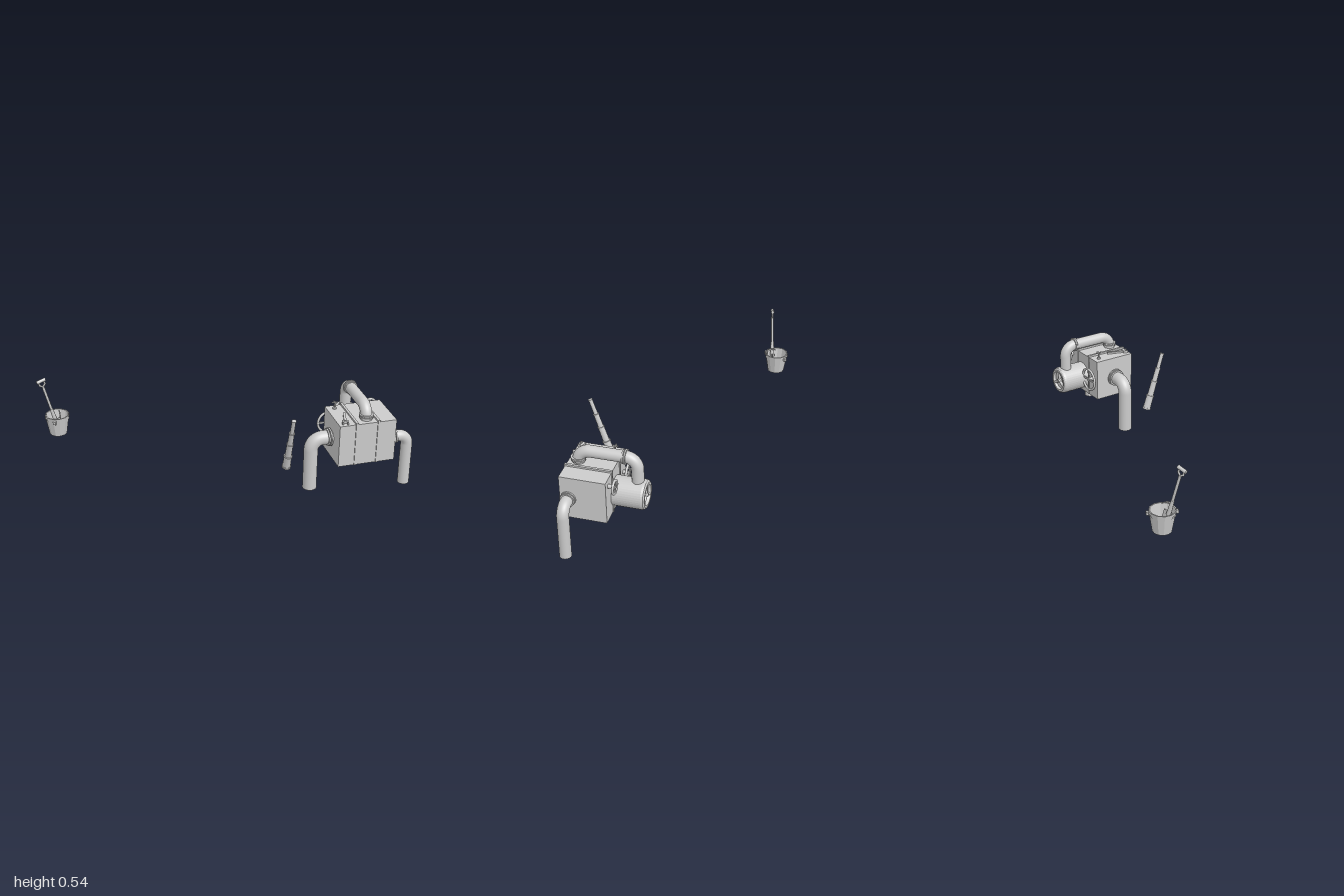
import * as THREE from 'three';

const V = (x, y, z) => new THREE.Vector3(x, y, z);
const smooth = new THREE.MeshStandardMaterial({ color: 0xcccccc, side: THREE.DoubleSide });
const faceted = new THREE.MeshStandardMaterial({ color: 0xcccccc, side: THREE.DoubleSide, flatShading: true });

function add(parent, name, geometry, x = 0, y = 0, z = 0, material = smooth) {
  const mesh = new THREE.Mesh(geometry, material);
  mesh.name = name;
  mesh.position.set(x, y, z);
  parent.add(mesh);
  return mesh;
}

// Cylinder or cone running from point a to point b
function rod(parent, name, a, b, ra, rb = ra, sides = 24) {
  const dir = b.clone().sub(a);
  const mesh = add(parent, name, new THREE.CylinderGeometry(rb, ra, dir.length(), sides));
  mesh.position.copy(a).add(b).multiplyScalar(0.5);
  mesh.quaternion.setFromUnitVectors(V(0, 1, 0), dir.normalize());
  return mesh;
}

// Pipe through corner points with rounded bends, closed at both ends
function pipe(parent, name, points, radius, bend) {
  const path = new THREE.CurvePath();
  let from = points[0];
  for (let i = 1; i < points.length - 1; i++) {
    const p = points[i];
    const back = points[i - 1].clone().sub(p).normalize();
    const next = points[i + 1].clone().sub(p).normalize();
    const at = (d, k) => p.clone().addScaledVector(d, bend * k);
    path.add(new THREE.LineCurve3(from, at(back, 1)));
    path.add(new THREE.CubicBezierCurve3(at(back, 1), at(back, 0.45), at(next, 0.45), at(next, 1)));
    from = at(next, 1);
  }
  const end = points[points.length - 1];
  path.add(new THREE.LineCurve3(from, end));
  add(parent, name, new THREE.TubeGeometry(path, 72, radius, 28));
  const toward = points[points.length - 2].clone().sub(end).setLength(0.002);
  rod(parent, name + 'Cap', end, end.clone().add(toward), radius, radius, 28);
}

// Two stacked discs around a pipe
function flange(parent, name, center, axis, radius) {
  for (const [offset, r] of [[-0.006, radius], [0.006, radius * 0.94]]) {
    const c = center.clone().addScaledVector(axis, offset);
    rod(parent, name, c.clone().addScaledVector(axis, -0.004), c.clone().addScaledVector(axis, 0.004), r, r, 32);
  }
}

// Spoked hand wheel on a short stem, facing the back
function handWheel(parent, name, x, y, radius) {
  const wheel = new THREE.Group();
  wheel.name = name;
  wheel.position.set(x, y, -0.152);
  parent.add(wheel);
  add(wheel, 'wheelRim', new THREE.TorusGeometry(radius - 0.007, 0.007, 10, 32));
  rod(wheel, 'wheelStem', V(0, 0, 0.035), V(0, 0, -0.006), 0.011);
  for (let i = 0; i < 2; i++) {
    const spoke = add(wheel, 'wheelSpoke', new THREE.BoxGeometry(2 * radius - 0.01, 0.01, 0.007));
    spoke.rotation.z = i * Math.PI / 2;
  }
}

function buildMachine() {
  const g = new THREE.Group();
  g.name = 'machine';
  g.position.set(0.715, 0, -0.019);
  g.rotation.y = 0.454;

  // Tank with two straps around it
  add(g, 'tank', new THREE.BoxGeometry(0.3125, 0.237, 0.239), 0, 0.2935, 0);
  for (const x of [-0.063, 0.057]) {
    add(g, 'strapTop', new THREE.BoxGeometry(0.013, 0.01, 0.247), x, 0.417, 0);
    for (const z of [-0.1215, 0.1215]) add(g, 'strapSide', new THREE.BoxGeometry(0.013, 0.245, 0.005), x, 0.2985, z);
  }

  // Two bent legs
  pipe(g, 'rightLegPipe', [V(-0.15, 0.293, 0), V(-0.268, 0.293, 0), V(-0.268, 0, 0)], 0.038, 0.06);
  flange(g, 'rightLegFlange', V(-0.174, 0.293, 0), V(-1, 0, 0), 0.05);
  pipe(g, 'leftLegPipe', [V(0.15, 0.291, 0.075), V(0.242, 0.291, 0.075), V(0.242, 0, 0.075)], 0.031, 0.052);
  flange(g, 'leftLegFlange', V(0.168, 0.291, 0.075), V(1, 0, 0), 0.04);

  // Drum at the back with a recessed, three-armed end
  const profile = [[0, -0.115], [0.077, -0.115], [0.077, -0.268], [0.074, -0.28], [0.066, -0.287],
    [0.054, -0.287], [0.05, -0.272], [0, -0.272]].map(([r, z]) => new THREE.Vector2(r, -z));
  const drum = add(g, 'drum', new THREE.LatheGeometry(profile, 40), 0.01, 0.275, 0, faceted);
  drum.rotation.x = -Math.PI / 2;
  for (let i = 0; i < 3; i++) {
    const a = Math.PI / 2 + i * Math.PI * 2 / 3;
    rod(g, 'drumArm', V(0.01, 0.275, -0.277), V(0.01 + 0.052 * Math.cos(a), 0.275 + 0.052 * Math.sin(a), -0.277), 0.008);
  }
  rod(g, 'drumHub', V(0.01, 0.275, -0.272), V(0.01, 0.275, -0.289), 0.018, 0.008);

  // Pipe over the top
  pipe(g, 'topPipe', [V(0.005, 0.29, -0.236), V(0.005, 0.481, -0.236), V(0.005, 0.481, 0.068), V(0.005, 0.405, 0.068)], 0.031, 0.06);
  flange(g, 'topPipeFlange', V(0.005, 0.432, 0.068), V(0, -1, 0), 0.039);
  flange(g, 'topPipeCollar', V(0.005, 0.481, -0.172), V(0, 0, 1), 0.039);

  // Hand wheels
  handWheel(g, 'largeHandWheel', -0.115, 0.297, 0.07);
  handWheel(g, 'smallHandWheel', 0.115, 0.372, 0.041);

  // Small tap on top
  rod(g, 'tapStem', V(-0.115, 0.41, -0.083), V(-0.115, 0.455, -0.083), 0.004, 0.004, 10);
  rod(g, 'tapBase', V(-0.115, 0.41, -0.083), V(-0.115, 0.42, -0.083), 0.01, 0.01, 12);
  for (const [x, z] of [[0.016, 0], [0, 0.016]]) {
    rod(g, 'tapHandle', V(-0.115 - x, 0.449, -0.083 - z), V(-0.115 + x, 0.449, -0.083 + z), 0.004, 0.004, 10);
  }

  // Wrench lying on the lid
  const wrench = new THREE.Group();
  wrench.name = 'wrench';
  wrench.position.set(-0.104, 0.42, 0.042);
  wrench.rotation.y = -0.29;
  g.add(wrench);
  add(wrench, 'wrenchHandle', new THREE.BoxGeometry(0.013, 0.01, 0.1));
  add(wrench, 'wrenchHead', new THREE.BoxGeometry(0.034, 0.014, 0.014), 0, 0.002, 0.05);
  for (const x of [-0.013, 0.013]) add(wrench, 'wrenchJaw', new THREE.BoxGeometry(0.008, 0.014, 0.018), x, 0.002, 0.063);
  return g;
}

function buildTelescope() {
  const g = new THREE.Group();
  g.name = 'telescope';
  const foot = V(0.36, 0.176, 0.208), dir = V(0.045, 0.325, 0.094);
  g.position.copy(foot);
  g.quaternion.setFromUnitVectors(V(0, 1, 0), dir.clone().normalize());
  const stops = [0, 0.084, 0.172, 0.252, 0.34];
  const radii = [0.0215, 0.0175, 0.0145, 0.011];
  radii.forEach((r, i) => {
    rod(g, 'telescopeTube', V(0, stops[i], 0), V(0, stops[i + 1], 0), r, r * 0.94);
    rod(g, 'telescopeRing', V(0, stops[i + 1] - 0.006, 0), V(0, stops[i + 1], 0), r * 1.08);
  });
  rod(g, 'telescopeRim', V(0, 0, 0), V(0, 0.01, 0), 0.024);
  return g;
}

function buildBucket() {
  const g = new THREE.Group();
  g.name = 'bucket';
  g.position.set(-0.93, 0.178, 0.082);
  // Faceted shell with an inner wall, floor and hoop
  const shell = [[0, 0], [0.048, 0], [0.067, 0.114], [0.061, 0.114], [0.044, 0.012], [0, 0.012]];
  add(g, 'bucketShell', new THREE.LatheGeometry(shell.map(p => new THREE.Vector2(...p)), 12), 0, 0, 0, faceted);
  add(g, 'bucketHoop', new THREE.CylinderGeometry(0.069, 0.067, 0.012, 12, 1, true), 0, 0.098, 0, faceted);
  // Handle hanging toward one side
  const handle = add(g, 'bucketHandle', new THREE.TorusGeometry(0.076, 0.005, 8, 28, Math.PI), 0.012, 0.095, 0);
  handle.quaternion.setFromRotationMatrix(new THREE.Matrix4().makeBasis(
    V(0, 0, -1), V(0.87, -0.5, 0), V(0.5, 0.87, 0).negate().negate()));
  for (const z of [-0.07, 0.07]) add(g, 'handlePivot', new THREE.BoxGeometry(0.016, 0.018, 0.014), 0.008, 0.095, z);
  return g;
}

function buildShovel() {
  const g = new THREE.Group();
  g.name = 'shovel';
  g.position.set(-0.918, 0.2, 0.1);
  const dir = V(-0.059, 0.33, 0.06);
  g.quaternion.setFromUnitVectors(V(0, 1, 0), dir.normalize());
  g.rotateY(0.7);
  add(g, 'shovelBlade', new THREE.BoxGeometry(0.06, 0.085, 0.007), 0, 0.035, 0);
  rod(g, 'shovelSocket', V(0, 0.06, 0), V(0, 0.15, 0), 0.013, 0.009, 8);
  rod(g, 'shovelShaft', V(0, 0.06, 0), V(0, 0.302, 0), 0.0075, 0.0075, 8);
  for (const s of [-1, 1]) {
    rod(g, 'gripFork', V(0, 0.297, 0), V(s * 0.015, 0.312, 0), 0.0055, 0.0055, 8);
    rod(g, 'gripArm', V(s * 0.015, 0.31, 0), V(s * 0.015, 0.335, 0), 0.0055, 0.0055, 8);
  }
  rod(g, 'shovelGrip', V(-0.025, 0.336, 0), V(0.025, 0.336, 0), 0.0095, 0.0095, 8);
  return g;
}

export function createModel() {
  const model = new THREE.Group();
  model.name = 'pumpAndTools';
  model.add(buildMachine(), buildTelescope(), buildBucket(), buildShovel());
  return model;
}
